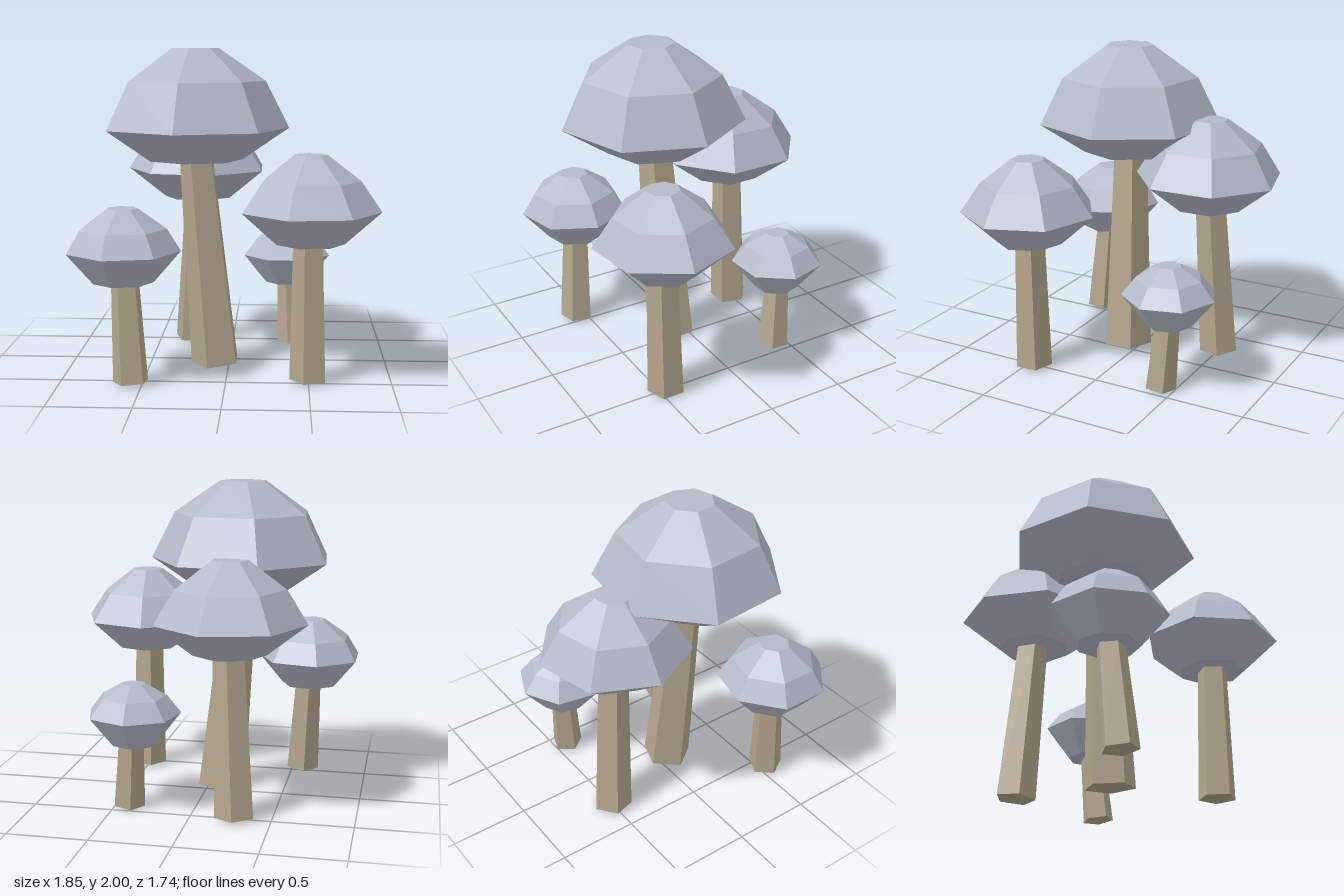
import * as THREE from 'three';

const capMaterial = new THREE.MeshStandardMaterial({ color: 0xb4bac9, flatShading: true });
capMaterial.name = 'blueGreyCap';
const stemMaterial = new THREE.MeshStandardMaterial({ color: 0xb3a78d, flatShading: true });
stemMaterial.name = 'tanStem';

// Per mushroom. cap: centre [x, z], angle of the first corner, rings [radius, y] from bottom to top.
// stem: foot and head [x, z, radius], angle of the first corner.
const mushrooms = [
  {
    name: 'tallMushroom',
    cap: { at: [-0.21, 0.14], angle: -5, rings: [[0.3, 1.315], [0.587, 1.51], [0.44, 1.8], [0.15, 2]] },
    stem: { foot: [-0.08, 0.09, 0.16], head: [-0.195, 0.13, 0.11], angle: 36 },
  },
  {
    name: 'rightMushroom',
    cap: { at: [0.5, 0.46], angle: 5.5, rings: [[0.21, 0.85], [0.425, 1.045], [0.3, 1.227], [0.102, 1.378]] },
    stem: { foot: [0.503, 0.457, 0.118], head: [0.497, 0.467, 0.096], angle: 35 },
  },
  {
    name: 'backMushroom',
    cap: { at: [-0.225, -0.42], angle: -26.5, rings: [[0.228, 1.01], [0.47, 1.2], [0.342, 1.405], [0.115, 1.572]] },
    stem: { foot: [-0.275, -0.495, 0.126], head: [-0.225, -0.44, 0.1], angle: 53 },
  },
  {
    name: 'leftMushroom',
    cap: { at: [-0.612, 0.517], angle: 0, rings: [[0.185, 0.617], [0.348, 0.807], [0.265, 0.94], [0.095, 1.06]] },
    stem: { foot: [-0.567, 0.56, 0.111], head: [-0.6, 0.52, 0.087], angle: 42 },
  },
  {
    name: 'smallMushroom',
    cap: { at: [0.366, -0.445], angle: 10.5, rings: [[0.142, 0.425], [0.292, 0.615], [0.205, 0.727], [0.073, 0.803]] },
    stem: { foot: [0.41, -0.41, 0.1], head: [0.385, -0.44, 0.08], angle: 36 },
  },
];

// Angles run from +x towards +z; the built-in round geometries start at +z
const startAngle = (degrees) => THREE.MathUtils.degToRad(90 - degrees);

// Seven-sided faceted cap, closed at both ends
function makeCap({ at, angle, rings }) {
  const profile = [[0, rings[0][1]], ...rings, [0, rings[rings.length - 1][1]]]
    .map(([r, y]) => new THREE.Vector2(r, y));
  const cap = new THREE.Mesh(new THREE.LatheGeometry(profile, 7, startAngle(angle)), capMaterial);
  cap.name = 'cap';
  cap.position.set(at[0], 0, at[1]);
  return cap;
}

// Five-sided tapered stem leaning from its foot to its head
function makeStem({ foot, head, angle }, topY) {
  const a = new THREE.Vector3(foot[0], 0.012, foot[1]);
  const b = new THREE.Vector3(head[0], topY, head[1]);
  const axis = b.clone().sub(a);
  const geometry = new THREE.CylinderGeometry(head[2], foot[2], axis.length(), 5, 1, false, startAngle(angle));
  const stem = new THREE.Mesh(geometry, stemMaterial);
  stem.name = 'stem';
  stem.position.copy(a).add(b).multiplyScalar(0.5);
  stem.quaternion.setFromUnitVectors(new THREE.Vector3(0, 1, 0), axis.normalize());
  return stem;
}

export function createModel() {
  const model = new THREE.Group();
  model.name = 'mushroomCluster';
  for (const { name, cap, stem } of mushrooms) {
    const mushroom = new THREE.Group();
    mushroom.name = name;
    // The stem reaches slightly into the cap
    mushroom.add(makeCap(cap), makeStem(stem, cap.rings[0][1] + 0.03));
    model.add(mushroom);
  }
  return model;
}
